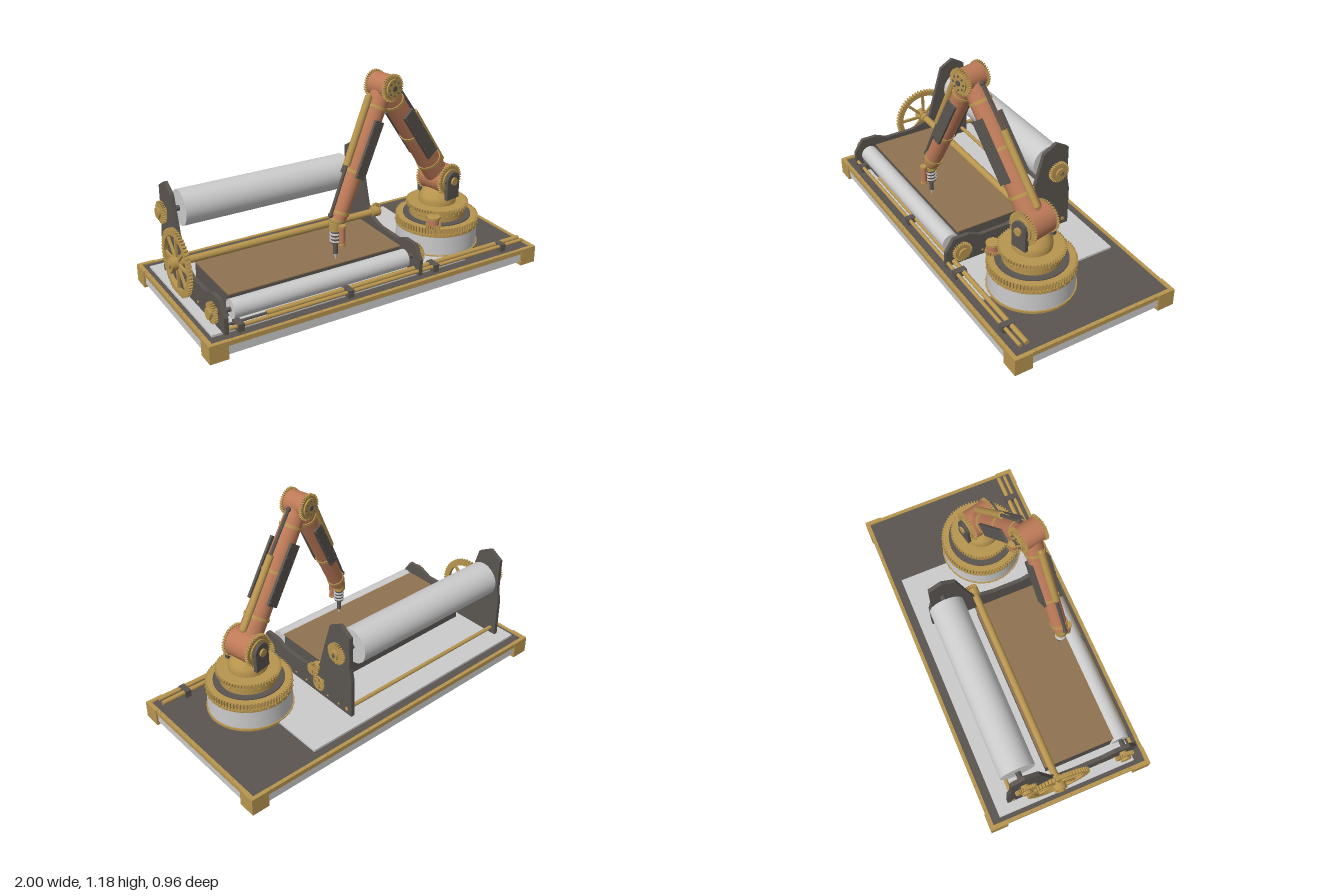
import * as THREE from 'three';

const mat = c => new THREE.MeshStandardMaterial({ color: c });
const grey = mat(0xcccccc), brass = mat(0xb8954f), copper = mat(0xbd7a58), dark = mat(0x5a5550), brown = mat(0x8f7350);
const V = (x, y, z) => new THREE.Vector3(x, y, z);

function add(parent, name, geo, m, x = 0, y = 0, z = 0) {
  const o = new THREE.Mesh(geo, m);
  o.name = name;
  o.position.set(x, y, z);
  parent.add(o);
  return o;
}
const box = (p, name, m, w, h, d, x, y, z) => add(p, name, new THREE.BoxGeometry(w, h, d), m, x, y, z);

// Cylinder or cone running from point a to point b
function rod(p, name, m, a, b, r1, r2 = r1, seg = 32) {
  const d = b.clone().sub(a);
  const o = add(p, name, new THREE.CylinderGeometry(r2, r1, d.length(), seg), m);
  o.position.copy(a).addScaledVector(d, 0.5);
  o.quaternion.setFromUnitVectors(V(0, 1, 0), d.normalize());
  return o;
}
const disc = (p, name, m, r, y0, y1, x = 0, z = 0, r2 = r) => rod(p, name, m, V(x, y0, z), V(x, y1, z), r, r2, 64);

// Toothed wheel about local z, centred on its thickness
function gear(p, name, r, teeth, depth, x, y, z, hole = 0, tooth = 0.01) {
  const s = new THREE.Shape(), step = Math.PI * 2 / teeth;
  for (let i = 0; i < teeth; i++) {
    [[0, r - tooth], [0.45, r - tooth], [0.55, r], [0.9, r]].forEach(([f, q], k) => {
      const a = (i + f) * step;
      s[i + k ? 'lineTo' : 'moveTo'](Math.cos(a) * q, Math.sin(a) * q);
    });
  }
  s.closePath();
  if (hole) s.holes.push(new THREE.Path().absarc(0, 0, hole, 0, Math.PI * 2, true));
  const g = new THREE.ExtrudeGeometry(s, { depth, bevelEnabled: false, curveSegments: 24 });
  return add(p, name, g.translate(0, 0, -depth / 2), brass, x, y, z);
}
const sideGear = (p, name, r, n, d, x, y, z, hole) => {
  const g = gear(p, name, r, n, d, x, y, z, hole);
  g.rotation.y = -Math.PI / 2;
  return g;
};
const spokes = (p, n, r, w, x, y, z) => {
  for (let i = 0; i < n; i++) box(p, 'spoke', brass, 0.012, 2 * r, w, x, y, z).rotation.x = i * Math.PI / n;
};
const rivet = (p, m, x, y, z, r = 0.006) => add(p, 'rivet', new THREE.SphereGeometry(r, 6, 4), m, x, y, z);

function base(g) {
  box(g, 'baseSlab', grey, 1.98, 0.05, 0.94, 0, 0.045, 0);
  box(g, 'deck', dark, 1.97, 0.022, 0.93, 0, 0.08, 0);
  box(g, 'bedSheet', grey, 1.51, 0.012, 0.81, -0.195, 0.097, -0.005);
  for (const s of [-1, 1]) {
    box(g, 'longTrim', brass, 1.98, 0.025, 0.02, 0, 0.083, s * 0.467);
    box(g, 'endTrim', brass, 0.02, 0.025, 0.95, s * 0.985, 0.083, 0);
    for (let i = 0; i < 26; i++) rivet(g, brass, -0.88 + i * 0.0704, 0.095, s * 0.467, 0.005);
    for (let i = 0; i < 13; i++) rivet(g, brass, s * 0.985, 0.095, -0.36 + i * 0.06, 0.005);
    for (const t of [-1, 1]) {
      box(g, 'cornerFoot', brass, 0.1, 0.07, 0.1, s * 0.95, 0.035, t * 0.43);
      box(g, 'cornerCapLong', brass, 0.1, 0.03, 0.022, s * 0.95, 0.083, t * 0.469);
      box(g, 'cornerCapEnd', brass, 0.022, 0.03, 0.1, s * 0.989, 0.083, t * 0.43);
    }
  }
}

function rollerBed(g) {
  // Side plates, outline given as z, y
  const outline = [[0.43, 0.1], [0.43, 0.19], [0.38, 0.265], [0.29, 0.265], [0.22, 0.235], [0.05, 0.235], [-0.04, 0.26],
    [-0.085, 0.31], [-0.17, 0.6], [-0.25, 0.645], [-0.325, 0.6], [-0.325, 0.41], [-0.34, 0.33], [-0.34, 0.1]];
  const plate = new THREE.ExtrudeGeometry(new THREE.Shape(outline.map(p => new THREE.Vector2(...p))), { depth: 0.022, bevelEnabled: false });
  plate.translate(0, 0, -0.011).rotateY(-Math.PI / 2);
  for (const [x, s] of [[-0.885, -1], [0.24, 1]]) {
    add(g, 'sidePlate', plate, dark, x);
    for (let i = 0; i < 7; i++) rivet(g, brass, x + s * 0.011, 0.13, -0.24 + i * 0.09, 0.007);
    sideGear(g, 'rollerGear', 0.06, 28, 0.018, x + s * 0.035, 0.48, -0.25);
    sideGear(g, 'feedGear', 0.055, 24, 0.018, x + s * 0.035, 0.19, 0.345);
    for (const [y, z, r] of [[0.48, -0.25, 0.028], [0.19, 0.345, 0.026], [0.275, -0.06, 0.036]])
      rod(g, 'bearing', brass, V(x, y, z), V(x + s * 0.05, y, z), r * 0.8);
    rod(g, 'shaftKnob', brass, V(x + s * 0.05, 0.48, -0.25), V(x + s * 0.06, 0.48, -0.25), 0.03);
    rod(g, 'feedKnob', brass, V(x + s * 0.05, 0.19, 0.345), V(x + s * 0.06, 0.19, 0.345), 0.03);
  }
  rod(g, 'largeRoller', grey, V(-0.82, 0.48, -0.255), V(0.17, 0.48, -0.255), 0.098, 0.098, 64);
  rod(g, 'largeShaft', dark, V(-0.94, 0.48, -0.255), V(0.3, 0.48, -0.255), 0.015);
  rod(g, 'feedRoller', grey, V(-0.83, 0.19, 0.36), V(0.18, 0.19, 0.36), 0.05, 0.05, 48);
  rod(g, 'feedShaft', dark, V(-0.93, 0.19, 0.36), V(0.29, 0.19, 0.36), 0.012);
  rod(g, 'guideRod', brass, V(-0.975, 0.275, -0.06), V(0.3, 0.275, -0.06), 0.02);
  rod(g, 'tieRod', brass, V(-0.9, 0.137, -0.305), V(0.255, 0.137, -0.305), 0.011);
  box(g, 'workTable', dark, 1, 0.12, 0.39, -0.32, 0.18, 0.115);
  box(g, 'workSheet', brown, 1, 0.006, 0.41, -0.32, 0.242, 0.115);
  // Drive wheels
  sideGear(g, 'driveGear', 0.182, 56, 0.022, -0.925, 0.275, -0.06, 0.145);
  spokes(g, 4, 0.15, 0.016, -0.925, 0.275, -0.06);
  rod(g, 'driveHub', brass, V(-0.91, 0.275, -0.06), V(-0.965, 0.275, -0.06), 0.036);
  sideGear(g, 'guideGear', 0.038, 18, 0.018, 0.285, 0.28, -0.07);
  const rim = add(g, 'handWheel', new THREE.TorusGeometry(0.04, 0.006, 8, 32), brass, 0.28, 0.205, -0.11);
  rim.rotation.y = Math.PI / 2;
  spokes(g, 3, 0.04, 0.008, 0.28, 0.205, -0.11);
  rod(g, 'wheelAxle', brass, V(0.24, 0.205, -0.11), V(0.29, 0.205, -0.11), 0.012);
}

function frontRail(g) {
  rod(g, 'outerRail', brass, V(-0.88, 0.125, 0.42), V(0.95, 0.125, 0.42), 0.01);
  rod(g, 'innerRail', brass, V(-0.65, 0.125, 0.383), V(0.95, 0.125, 0.383), 0.013);
  rod(g, 'innerRailRod', dark, V(-0.9, 0.125, 0.383), V(-0.65, 0.125, 0.383), 0.007);
  for (const x of [-0.81, -0.195, 0.34, 0.8]) box(g, 'railBracket', dark, 0.035, 0.042, 0.07, x, 0.117, 0.4);
}

function pedestal(g) {
  const ring = (n, r, y) => {
    for (let i = 0; i < n; i++) rivet(g, brass, r * Math.cos(i * 2 * Math.PI / n), y, r * Math.sin(i * 2 * Math.PI / n));
  };
  disc(g, 'drumFoot', brass, 0.235, 0.095, 0.108);
  disc(g, 'drum', grey, 0.228, 0.108, 0.218);
  disc(g, 'drumRim', brass, 0.231, 0.216, 0.232);
  ring(32, 0.232, 0.104);
  ring(32, 0.231, 0.224);
  gear(g, 'turntableGear', 0.232, 80, 0.034, 0, 0.249, 0, 0.185).rotation.x = Math.PI / 2;
  disc(g, 'turntablePlate', dark, 0.19, 0.23, 0.272);
  disc(g, 'turntable', brass, 0.155, 0.27, 0.33);
  ring(24, 0.155, 0.302);
  gear(g, 'upperGear', 0.175, 64, 0.018, 0, 0.336, 0).rotation.x = Math.PI / 2;
  const prof = [[0.105, 0.345], [0.105, 0.375], [0.095, 0.385], [0.085, 0.41], [0.06, 0.43], [0, 0.435]];
  add(g, 'dome', new THREE.LatheGeometry(prof.map(p => new THREE.Vector2(...p)), 48), brass);
}

// Joint drum about local z with toothed caps
function joint(g, name, x, y, r, half) {
  rod(g, name, copper, V(x, y, -half), V(x, y, half), r, r, 48);
  for (const s of [-1, 1]) {
    gear(g, name + 'Gear', r + 0.008, 36, 0.016, x, y, s * half);
    rod(g, name + 'Cap', brass, V(x, y, s * half), V(x, y, s * (half + 0.016)), r * 0.78);
    rod(g, name + 'Pin', dark, V(x, y, s * half), V(x, y, s * (half + 0.022)), r * 0.22);
    for (let i = 0; i < 8; i++) {
      const a = i * Math.PI / 4;
      rivet(g, dark, x + Math.cos(a) * r * 0.58, y + Math.sin(a) * r * 0.58, s * (half + 0.016));
    }
  }
}

// Tapered limb with brass bands and a riveted plate on each side
function limb(g, name, a, b, r1, r2, bands, p0, p1) {
  rod(g, name, copper, a, b, r1, r2, 40);
  const at = t => a.clone().lerp(b, t), dir = b.clone().sub(a), len = dir.length();
  dir.normalize();
  for (const t of bands) {
    const c = at(t), r = r1 + (r2 - r1) * t + 0.005;
    rod(g, name + 'Band', brass, c.clone().addScaledVector(dir, -0.008), c.addScaledVector(dir, 0.008), r);
  }
  const w = (r1 + r2) * 0.62;
  for (const s of [-1, 1]) {
    const holder = new THREE.Group();
    holder.name = name + 'SidePlate';
    holder.position.copy(at((p0 + p1) / 2)).setZ(s * ((r1 + r2) / 2 + 0.004));
    holder.quaternion.setFromUnitVectors(V(0, 1, 0), dir);
    g.add(holder);
    const h = len * (p1 - p0);
    box(holder, 'plate', dark, w, h, 0.014, 0, 0, 0);
    for (const e of [-1, 1]) for (let i = 0; i < 6; i++) rivet(holder, dark, e * w * 0.4, h * (-0.45 + i * 0.18), s * 0.007, 0.005);
  }
}

function piston(g, name, a, b, c) {
  rod(g, name + 'Sleeve', brass, a, b, 0.019);
  rod(g, name + 'Rod', dark, b, c, 0.009);
  for (const p of [a, c]) add(g, name + 'End', new THREE.SphereGeometry(0.014, 12, 8), p === a ? brass : dark, p.x, p.y, p.z);
}

function arm(g) {
  const sh = V(0, 0.485, 0), el = V(-0.457, 1.107, 0), wr = V(-0.775, 0.47, 0);
  joint(g, 'shoulder', sh.x, sh.y, 0.083, 0.078);
  for (const s of [-1, 1]) {
    box(g, 'shoulderBracket', dark, 0.095, 0.11, 0.022, 0, 0.435, s * 0.1);
    rod(g, 'bracketTop', dark, V(0, 0.49, s * 0.089), V(0, 0.49, s * 0.111), 0.0475);
    rod(g, 'shoulderPin', brass, V(0, 0.485, s * 0.1), V(0, 0.485, s * 0.122), 0.022);
  }
  limb(g, 'upperArm', sh, el, 0.068, 0.054, [0.2, 0.52, 0.84], 0.3, 0.74);
  joint(g, 'elbow', el.x, el.y, 0.064, 0.062);
  limb(g, 'forearm', el, wr, 0.054, 0.044, [0.16, 0.64, 0.95], 0.25, 0.68);
  piston(g, 'upperPiston', V(0.013, 0.585, 0), V(-0.222, 0.915, 0), V(-0.373, 1.11, 0));
  piston(g, 'forearmPiston', V(-0.56, 1.075, 0), V(-0.714, 0.745, 0), V(-0.823, 0.505, 0));
  // Wrist and stylus
  const x = -0.79;
  add(g, 'wristBall', new THREE.SphereGeometry(0.042, 24, 16), brass, wr.x, wr.y, 0);
  disc(g, 'toolHead', brass, 0.034, 0.415, 0.46, x, 0);
  for (let i = 0; i < 4; i++) {
    disc(g, 'toolBody', dark, 0.025, 0.34 + i * 0.02, 0.352 + i * 0.02, x, 0);
    disc(g, 'toolRing', grey, 0.03, 0.352 + i * 0.02, 0.36 + i * 0.02, x, 0);
  }
  disc(g, 'stylusHolder', dark, 0.012, 0.28, 0.34, x, 0);
  disc(g, 'stylusTip', grey, 0.001, 0.244, 0.28, x, 0, 0.008);
  disc(g, 'toolMotor', copper, 0.016, 0.355, 0.445, x, 0.05);
  for (const y of [0.345, 0.445]) disc(g, 'motorCap', brass, 0.019, y, y + 0.01, x, 0.05);
  box(g, 'motorMount', brass, 0.02, 0.02, 0.05, x, 0.425, 0.025);
}

export function createModel() {
  const root = new THREE.Group();
  root.name = 'drawingMachine';
  const part = (name, build, x = 0, z = 0, turn = 0) => {
    const g = new THREE.Group();
    g.name = name;
    g.position.set(x, 0, z);
    g.rotation.y = turn;
    build(g);
    root.add(g);
  };
  part('base', base);
  part('rollerBed', rollerBed);
  part('frontRail', frontRail);
  part('pedestal', pedestal, 0.573, 0.112);
  part('arm', arm, 0.58, 0.107, 0.212);
  part('turntableMotor', g => {
    disc(g, 'motorBody', copper, 0.032, 0.265, 0.325);
    disc(g, 'motorTop', brass, 0.037, 0.318, 0.33);
    gear(g, 'motorPinion', 0.042, 18, 0.02, 0, 0.275, 0).rotation.x = Math.PI / 2;
  }, 0.44, 0.26);
  return root;
}
